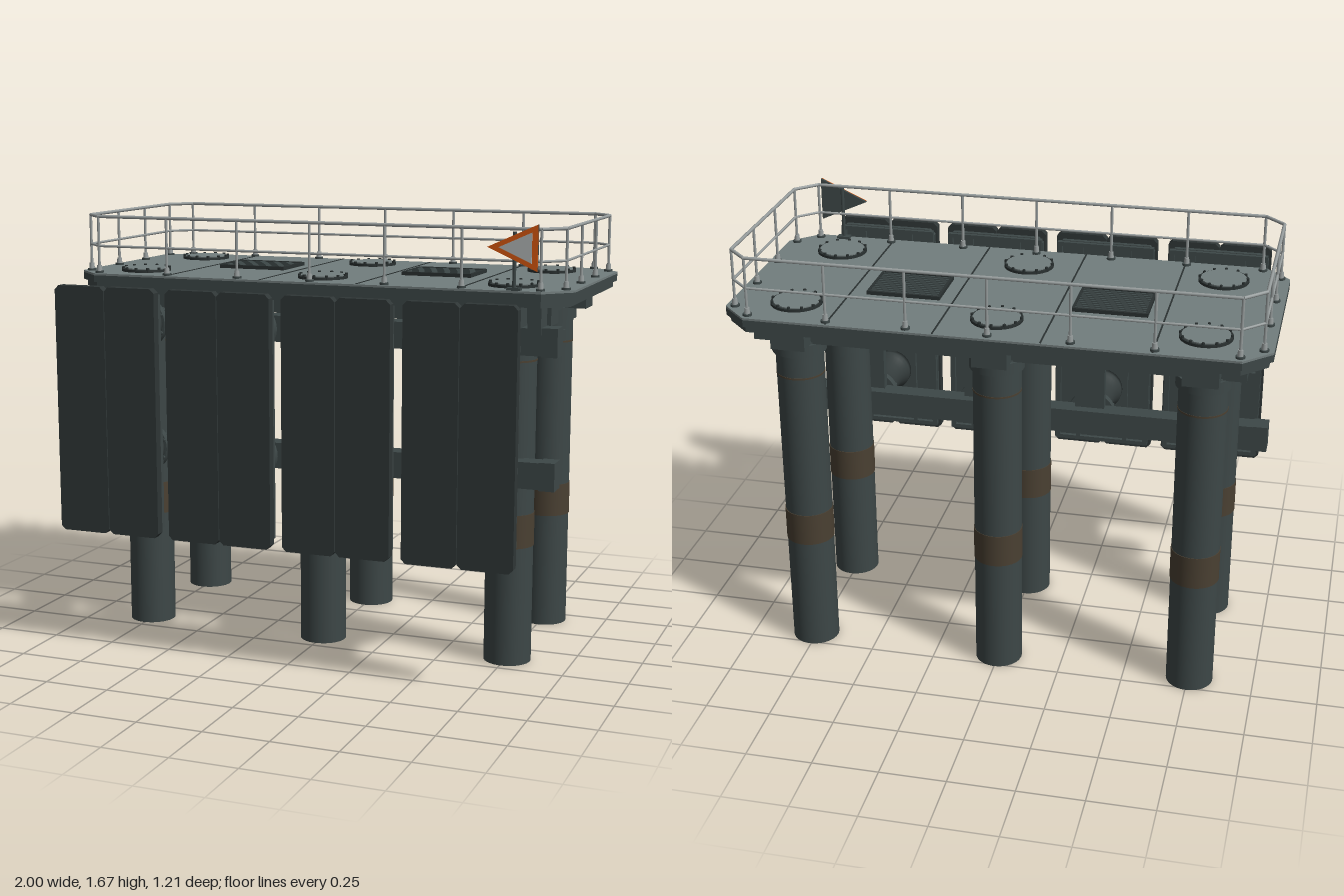
import * as THREE from 'three';

const mat = (name, hex, extra = {}) => {
  const m = new THREE.MeshStandardMaterial({ color: hex, ...extra });
  m.name = name;
  return m;
};

export function createModel() {
  const steel = mat('dark steel', 0x3d4747);
  const pad = mat('fender pad', 0x2f3636);
  const rubber = mat('rubber', 0x343c3c);
  const deckGrey = mat('deck grey', 0x727d7d);
  const rust = mat('rust band', 0x4a4032);
  const railGrey = mat('rail grey', 0x979d9d);
  const line = mat('seam dark', 0x2a3131);
  const orange = mat('sign orange', 0xd9580f);
  const signGrey = mat('sign grey', 0xb4b9b9);

  const root = new THREE.Group();
  root.name = 'mooringPlatform';
  const group = (name, parent = root) => {
    const g = new THREE.Group();
    g.name = name;
    parent.add(g);
    return g;
  };
  const add = (parent, name, geo, m, x = 0, y = 0, z = 0) => {
    const mesh = new THREE.Mesh(geo, m);
    mesh.name = name;
    mesh.position.set(x, y, z);
    parent.add(mesh);
    return mesh;
  };
  const box = (p, name, m, w, h, d, x, y, z) => add(p, name, new THREE.BoxGeometry(w, h, d), m, x, y, z);
  const cyl = (p, name, m, r, y0, y1, x, z, n = 32, r2 = r) =>
    add(p, name, new THREE.CylinderGeometry(r2, r, y1 - y0, n), m, x, (y0 + y1) / 2, z);
  const bar = (p, name, m, a, b, r = 0.005) => {
    const d = b.clone().sub(a);
    const mesh = add(p, name, new THREE.CylinderGeometry(r, r, d.length(), 8), m);
    mesh.position.copy(a).add(b).multiplyScalar(0.5);
    mesh.quaternion.setFromUnitVectors(new THREE.Vector3(0, 1, 0), d.normalize());
  };
  // rectangle with cut corners, centred on the origin
  const cutRect = (w, h, c) => {
    const x = w / 2, y = h / 2;
    return [[-x + c, -y], [x - c, -y], [x, -y + c], [x, y - c], [x - c, y], [-x + c, y], [-x, y - c], [-x, -y + c]]
      .map(([a, b]) => new THREE.Vector2(a, b));
  };
  const extrude = (pts, depth) =>
    new THREE.ExtrudeGeometry(new THREE.Shape(pts), { depth, bevelEnabled: false });

  // Deck slab with a lighter walking surface
  const CZ = -0.153, TOP = 1.43;
  const deck = group('deck');
  const slab = (name, m, w, d, c, y0, y1) =>
    add(deck, name, extrude(cutRect(w, d, c), y1 - y0).rotateX(-Math.PI / 2), m, 0, y0, CZ);
  slab('deckEdge', steel, 2, 0.905, 0.1, 1.395, 1.422);
  slab('deckSlab', steel, 1.97, 0.875, 0.09, 1.37, 1.395);
  slab('deckSurface', deckGrey, 2, 0.905, 0.1, 1.422, TOP);
  for (const x of [-0.59, -0.195, 0.195, 0.59]) box(deck, 'deckSeam', line, 0.006, 0.002, 0.89, x, TOP + 0.001, CZ);

  // Manholes and gratings
  const PX = [-0.755, 0, 0.755], PZ = [0.13, -0.422];
  for (const x of PX) for (const z of PZ) {
    const hatch = group('manhole', deck);
    cyl(hatch, 'manholeRim', line, 0.096, TOP, TOP + 0.01, x, z, 40);
    cyl(hatch, 'manholeCover', deckGrey, 0.087, TOP, TOP + 0.014, x, z, 40);
    for (let i = 0; i < 12; i++) {
      const a = (i * Math.PI) / 6;
      cyl(hatch, 'manholeBolt', line, 0.006, TOP, TOP + 0.018, x + 0.091 * Math.cos(a), z + 0.091 * Math.sin(a), 6);
    }
  }
  for (const x of [-0.388, 0.388]) {
    const g = group('grating', deck);
    box(g, 'gratingBed', line, 0.28, 0.006, 0.22, x, TOP + 0.003, -0.18);
    for (const s of [-1, 1]) {
      box(g, 'gratingFrame', line, 0.01, 0.014, 0.22, x + s * 0.135, TOP + 0.007, -0.18);
      box(g, 'gratingFrame', line, 0.28, 0.014, 0.01, x, TOP + 0.007, -0.18 + s * 0.105);
    }
    for (let i = 0; i < 11; i++) box(g, 'gratingBar', steel, 0.26, 0.012, 0.008, x, TOP + 0.006, -0.27 + i * 0.018);
  }

  // Beams under the deck
  const beams = group('deckBeams');
  for (const x of PX) box(beams, 'crossBeam', steel, 0.13, 0.08, 0.83, x, 1.332, -0.135);
  for (const z of PZ) box(beams, 'longBeam', steel, 1.82, 0.078, 0.11, 0, 1.333, z);

  // Piles with collars and rust bands
  for (const x of PX) for (const z of PZ) {
    const p = group('pile');
    cyl(p, 'pileShaft', steel, 0.09, 0, 1.3, x, z, 40);
    cyl(p, 'pileCollar', steel, 0.102, 1.25, 1.295, x, z, 40);
    cyl(p, 'tideBand', rust, 0.0925, 0.455, 0.582, x, z, 40);
    cyl(p, 'weldLine', rust, 0.0915, 1.156, 1.163, x, z, 40);
  }

  // Wales that carry the fenders
  const frame = group('fenderFrame');
  const FX = [-0.692, -0.231, 0.231, 0.692], FY = [0.75, 1.243];
  for (const y of FY) {
    box(frame, 'wale', steel, 1.9, 0.1, 0.075, 0, y, 0.222);
    for (const s of [-1, 1]) box(frame, 'waleEnd', steel, 0.06, 0.106, 0.08, s * 0.925, y, 0.222);
  }
  for (const s of [-1, 1]) {
    box(frame, 'waleBracket', steel, 0.05, 0.1, 0.14, s * 0.87, 1.32, 0.2);
    box(frame, 'waleShelf', steel, 0.06, 0.012, 0.12, s * 0.92, 1.272, 0.18);
  }
  for (const x of FX) box(frame, 'upright', steel, 0.12, 0.6, 0.035, x, 0.995, 0.242);

  // Fenders: waisted rubber cones behind two-leaf panels
  const cone = new THREE.LatheGeometry(
    [[0, 0], [0.088, 0], [0.088, 0.02], [0.077, 0.045], [0.067, 0.085], [0.064, 0.125], [0.067, 0.165], [0.078, 0.205], [0.086, 0.22], [0.086, 0.245], [0, 0.245]]
      .map(([r, y]) => new THREE.Vector2(r, y)), 32).rotateX(Math.PI / 2);
  const flange = new THREE.CylinderGeometry(0.097, 0.097, 0.03, 32).rotateX(Math.PI / 2);
  const leaf = extrude(cutRect(0.206, 0.945, 0.016), 0.036);
  const back = extrude(cutRect(0.4, 0.895, 0.02), 0.02);
  for (const x of FX) {
    const f = group('fender');
    for (const y of FY) {
      add(f, 'fenderFlange', flange, steel, x, y, 0.283);
      add(f, 'fenderCone', cone, rubber, x, y, 0.288);
      for (let i = 0; i < 8; i++) {
        const a = ((i + 0.5) * Math.PI) / 4;
        const b = add(f, 'flangeBolt', new THREE.CylinderGeometry(0.007, 0.007, 0.012, 6), steel,
          x + 0.09 * Math.cos(a), y + 0.09 * Math.sin(a), 0.302);
        b.rotation.x = Math.PI / 2;
      }
    }
    for (const s of [-1, 1]) {
      add(f, 'panelLeaf', leaf, pad, x + s * 0.1045, 0.9425, 0.566);
      box(f, 'panelSideRib', steel, 0.02, 0.89, 0.022, x + s * 0.188, 0.943, 0.54);
      box(f, 'panelRib', steel, 0.016, 0.89, 0.022, x + s * 0.1, 0.943, 0.54);
    }
    add(f, 'panelBack', back, steel, x, 0.943, 0.546);
    for (const y of [0.505, 0.64, 0.87, 1.12, 1.38]) box(f, 'panelCrossRib', steel, 0.39, 0.016, 0.022, x, y, 0.54);
  }

  // Guard rail around the deck
  const rail = group('guardRail');
  const ring = cutRect(1.93, 0.845, 0.075).map((v) => new THREE.Vector3(v.x, 0, v.y + CZ));
  const at = (v, y) => new THREE.Vector3(v.x, y, v.z);
  ring.forEach((a, i) => {
    const b = ring[(i + 1) % ring.length];
    for (const [y, r] of [[1.65, 0.0065], [1.535, 0.005]]) bar(rail, 'railBar', railGrey, at(a, y), at(b, y), r);
  });
  const posts = [...ring];
  for (const x of [-0.595, -0.298, 0, 0.298, 0.595]) for (const s of [-1, 1]) posts.push(new THREE.Vector3(x, 0, CZ + s * 0.4225));
  for (const z of [-0.268, -0.036]) for (const s of [-1, 1]) posts.push(new THREE.Vector3(s * 0.965, 0, z));
  for (const p of posts) {
    bar(rail, 'railPost', railGrey, at(p, TOP), at(p, 1.65), 0.0055);
    cyl(rail, 'postFoot', steel, 0.017, TOP, TOP + 0.008, p.x, p.z, 12);
    cyl(rail, 'postSocket', railGrey, 0.012, TOP, TOP + 0.03, p.x, p.z, 12, 0.009);
  }

  // Triangular marker sign
  const sign = group('markerSign');
  const tri = (k) => [[-0.124 * k, 0], [0.062 * k, -0.084 * k], [0.062 * k, 0.084 * k]].map(([a, b]) => new THREE.Vector2(a, b));
  const SX = 0.823, SY = 1.585;
  add(sign, 'signPlate', extrude(tri(1), 0.01), steel, SX, SY, 0.287);
  add(sign, 'signBorder', extrude(tri(1), 0.004), orange, SX, SY, 0.297);
  add(sign, 'signFace', extrude(tri(0.66), 0.003), signGrey, SX, SY, 0.3);
  bar(sign, 'signPost', steel, new THREE.Vector3(0.795, TOP, 0.28), new THREE.Vector3(0.795, 1.64, 0.28), 0.007);
  box(sign, 'signFoot', steel, 0.05, 0.01, 0.03, 0.795, TOP + 0.005, 0.278);

  return root;
}
